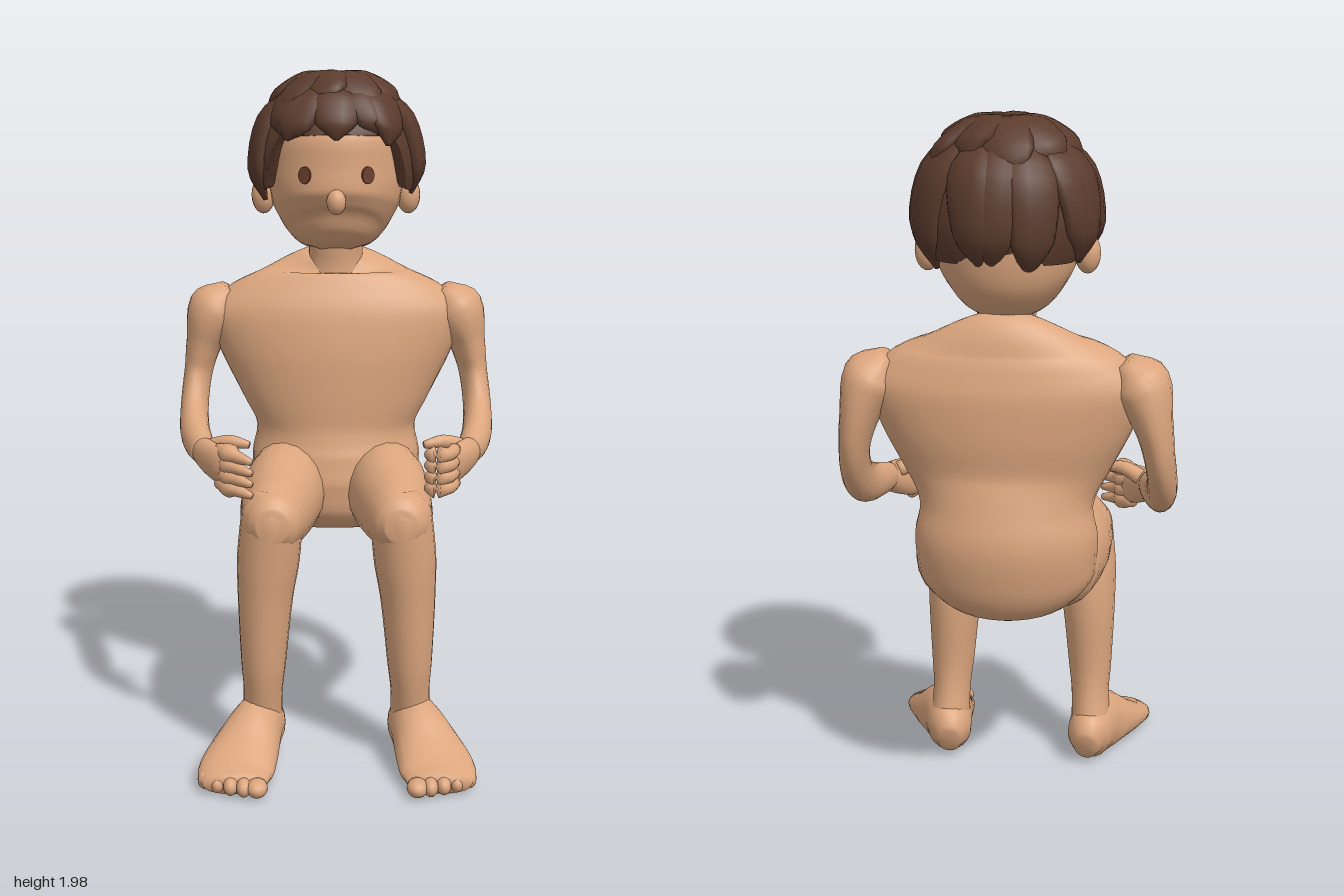
import * as THREE from 'three';
import { ParametricGeometry } from 'three/addons/geometries/ParametricGeometry.js';

const mat = (name, color) => {
  const m = new THREE.MeshStandardMaterial({ color });
  m.name = name;
  return m;
};

// Smooth closed tube through rings [x, y, z, halfWidth, halfDepth]; "hint" is the width direction
function loft(rings, steps = 4, sides = 20, hint = new THREE.Vector3(1, 0, 0)) {
  const path = new THREE.CatmullRomCurve3(rings.map(r => new THREE.Vector3(r[0], r[1], r[2])));
  const size = new THREE.CatmullRomCurve3(rings.map(r => new THREE.Vector3(r[3], r[4], 0)));
  const n = (rings.length - 1) * steps, pos = [], idx = [];
  const put = p => pos.push(p.x, Math.max(p.y, 0.005), p.z);
  for (let i = 0; i <= n; i++) {
    const c = path.getPoint(i / n), t = path.getTangent(i / n), s = size.getPoint(i / n);
    const side = hint.clone().addScaledVector(t, -hint.dot(t)).normalize();
    const up = t.clone().cross(side);
    for (let j = 0; j < sides; j++) {
      const a = j / sides * Math.PI * 2;
      put(c.clone().addScaledVector(side, Math.cos(a) * s.x).addScaledVector(up, Math.sin(a) * s.y));
    }
  }
  const first = pos.length / 3, last = first + 1;
  put(path.getPoint(0));
  put(path.getPoint(1));
  for (let j = 0; j < sides; j++) {
    const k = (j + 1) % sides;
    for (let i = 0; i < n; i++) {
      const a = i * sides + j, b = i * sides + k;
      idx.push(a, b, a + sides, b, b + sides, a + sides);
    }
    idx.push(first, k, j, last, n * sides + j, n * sides + k);
  }
  const g = new THREE.BufferGeometry();
  g.setAttribute('position', new THREE.Float32BufferAttribute(pos, 3));
  g.setIndex(idx);
  g.computeVertexNormals();
  return g;
}

// Hair volume: a point on an ellipsoid, and how far down the hair reaches at each angle from the front
const hairPoint = (a, phi, k) => new THREE.Vector3(
  Math.sin(a) * Math.sin(phi) * 0.25 * k,
  1.725 + Math.cos(phi) * 0.26 * k,
  -0.215 + Math.cos(a) * Math.sin(phi) * 0.22 * k);
const hairEdge = a => {
  const t = Math.abs(Math.atan2(Math.sin(a), Math.cos(a)));
  const y = 1.81 - 0.17 * THREE.MathUtils.smoothstep(t, 0.75, 1.15) - 0.03 * THREE.MathUtils.smoothstep(t, 1.6, 2.2);
  return Math.acos((y - 1.725) / 0.26);
};

export function createModel() {
  const model = new THREE.Group();
  model.name = 'seatedFigure';
  const skin = mat('skin', 0xdca67e), hairMat = mat('hair', 0x5b3b2d), eyeMat = mat('eyes', 0x6a3f2e);
  hairMat.side = THREE.DoubleSide;
  const add = (name, geo, material = skin, parent = model) => {
    const m = new THREE.Mesh(geo, material);
    m.name = name;
    parent.add(m);
    return m;
  };
  const ball = (name, x, y, z, rx, ry, rz, parent) => {
    const m = add(name, new THREE.SphereGeometry(1, 16, 12), skin, parent);
    m.position.set(x, y, z);
    m.scale.set(rx, ry, rz);
    return m;
  };
  // Horizontal body sections: [y, halfWidth, zFront, zBack]
  const stack = rows => loft(rows.map(([y, w, f, b]) => [0, y, (f + b) / 2, w, (f - b) / 2]), 4, 32);

  // Trunk, neck and head
  add('torso', stack([
    [0.615, 0.10, -0.12, -0.30], [0.66, 0.19, -0.07, -0.37], [0.74, 0.25, -0.06, -0.425],
    [0.84, 0.255, -0.075, -0.445], [0.93, 0.24, -0.09, -0.425], [1.03, 0.285, -0.09, -0.40],
    [1.15, 0.345, -0.09, -0.41], [1.27, 0.385, -0.105, -0.41], [1.36, 0.31, -0.14, -0.39],
    [1.41, 0.20, -0.165, -0.37], [1.455, 0.08, -0.18, -0.32]]));
  add('neck', stack([[1.38, 0.095, -0.17, -0.34], [1.45, 0.08, -0.17, -0.32], [1.56, 0.085, -0.15, -0.32]]));
  add('head', stack([
    [1.475, 0.05, -0.12, -0.20], [1.50, 0.11, -0.07, -0.27], [1.54, 0.152, -0.03, -0.35],
    [1.60, 0.187, -0.012, -0.405], [1.68, 0.20, -0.018, -0.42], [1.78, 0.20, -0.02, -0.42],
    [1.87, 0.16, -0.07, -0.37], [1.92, 0.08, -0.14, -0.29]]));
  ball('nose', 0, 1.615, -0.015, 0.028, 0.036, 0.028);

  for (const m of [1, -1]) {
    const side = m > 0 ? 'left' : 'right';
    const limb = rings => loft(rings.map(([x, ...r]) => [x * m, ...r]));

    // Ear and eye
    ball(side + 'Ear', 0.215 * m, 1.625, -0.225, 0.035, 0.055, 0.035);
    const eye = add(side + 'Eye', new THREE.CylinderGeometry(1, 1, 0.009, 14).rotateX(Math.PI / 2), eyeMat);
    eye.position.set(0.09 * m, 1.69, -0.037);
    eye.scale.set(0.019, 0.025, 1);
    eye.rotation.y = 0.46 * m;

    // Arm bent at the elbow
    add(side + 'Arm', limb([
      [0.32, 1.345, -0.27, 0.03, 0.05], [0.365, 1.28, -0.27, 0.082, 0.1], [0.40, 1.18, -0.28, 0.055, 0.092],
      [0.42, 1.08, -0.27, 0.042, 0.078], [0.427, 0.99, -0.21, 0.042, 0.068], [0.42, 0.935, -0.12, 0.044, 0.06],
      [0.40, 0.912, -0.02, 0.042, 0.048], [0.385, 0.905, 0.04, 0.034, 0.04]]));

    // Hand: the left one is curled, the right one reaches inward
    const hand = new THREE.Group();
    hand.name = side + 'Hand';
    model.add(hand);
    add('palm', limb([
      [0.39, 0.905, 0.02, 0.034, 0.04], [0.365, 0.893, 0.07, 0.034, 0.052],
      [0.33, 0.88, 0.12, 0.03, 0.058], [0.305, 0.875, 0.145, 0.018, 0.045]]), skin, hand);
    for (let k = 0; k < 4; k++) {
      const y = 0.925 - 0.032 * k, r = 0.019;
      add('finger', limb(m > 0
        ? [[0.335, y, 0.12, r, r], [0.31, y, 0.19, r, r], [0.265, y, 0.195, r, r], [0.27, y, 0.15, 0.012, 0.012]]
        : [[0.335, y, 0.11, r, r], [0.285, y - 0.01, 0.165, r, r], [0.24, y - 0.02, 0.2, 0.01, 0.01]]), skin, hand);
    }
    add('thumb', limb([
      [0.36, 0.92, 0.05, 0.024, 0.024], [0.305, 0.94, 0.08, 0.02, 0.02], [0.25, 0.935, 0.10, 0.011, 0.011]]), skin, hand);

    // Thigh, shin and foot
    add(side + 'Thigh', limb([
      [0.13, 0.755, -0.30, 0.08, 0.09], [0.14, 0.755, -0.22, 0.12, 0.14], [0.155, 0.75, -0.10, 0.122, 0.143],
      [0.17, 0.735, 0.04, 0.11, 0.122], [0.178, 0.73, 0.15, 0.095, 0.105], [0.18, 0.73, 0.22, 0.075, 0.08],
      [0.18, 0.73, 0.25, 0.045, 0.045]]));
    add(side + 'Shin', limb([
      [0.18, 0.815, 0.15, 0.05, 0.05], [0.183, 0.75, 0.155, 0.088, 0.1], [0.195, 0.62, 0.14, 0.09, 0.104],
      [0.205, 0.5, 0.13, 0.08, 0.1], [0.212, 0.3, 0.125, 0.065, 0.083], [0.215, 0.2, 0.11, 0.057, 0.076],
      [0.22, 0.1, 0.085, 0.06, 0.075]]));
    add(side + 'Foot', limb([
      [0.21, 0.065, 0.005, 0.035, 0.045], [0.215, 0.085, 0.05, 0.065, 0.085], [0.235, 0.095, 0.14, 0.078, 0.1],
      [0.265, 0.065, 0.24, 0.1, 0.07], [0.285, 0.042, 0.33, 0.108, 0.042], [0.283, 0.032, 0.40, 0.088, 0.028]]));
    for (let k = 0; k < 5; k++) {
      const r = k ? 0.021 : 0.03;
      ball(side + 'Toe', (0.222 + 0.037 * k) * m, 0.031, 0.415 - 0.004 * k * k, r, 0.026, k ? 0.034 : 0.04);
    }
  }

  // Hair: lumpy shell under overlapping pointed locks
  const hair = new THREE.Group();
  hair.name = 'hair';
  model.add(hair);
  add('hairShell', new ParametricGeometry((u, v, p) => {
    const a = u * Math.PI * 2, inner = v > 0.95 ? 0.82 : 0.96;
    const lump = 1 + 0.015 * Math.sin(7 * a + 5 * v) * Math.sin(v * Math.PI);
    p.copy(hairPoint(a, Math.min(v / 0.95, 1) * hairEdge(a), inner * lump));
  }, 64, 20), hairMat, hair);
  const lock = (a, phi0, phi1, w, d, twist) => {
    const rings = [[0, 0.3, 0.4], [0.35, 1, 1], [0.75, 0.85, 1], [1, 0.1, 0.25]].map(([t, kw, kd]) => {
      const p = hairPoint(a + twist * t, phi0 + (phi1 - phi0) * t, 0.955);
      return [p.x, p.y, p.z, w * kw, d * kd];
    });
    add('hairLock', loft(rings, 4, 10, new THREE.Vector3(Math.cos(a), 0, -Math.sin(a))), hairMat, hair);
  };
  for (let i = 0; i < 14; i++) {
    const a = i / 14 * Math.PI * 2, twist = 0.22 * Math.sin(i * 2.3);
    lock(a, 0.55, hairEdge(a + twist) + 0.07 + 0.07 * Math.sin(i * 4.1), 0.07, 0.026, twist);
  }
  for (let i = 0; i < 9; i++) {
    lock(i / 9 * Math.PI * 2 + 0.2, 0.05, 1.0 + 0.12 * Math.sin(i * 3.7), 0.075, 0.027, 0.4);
  }
  return model;
}
